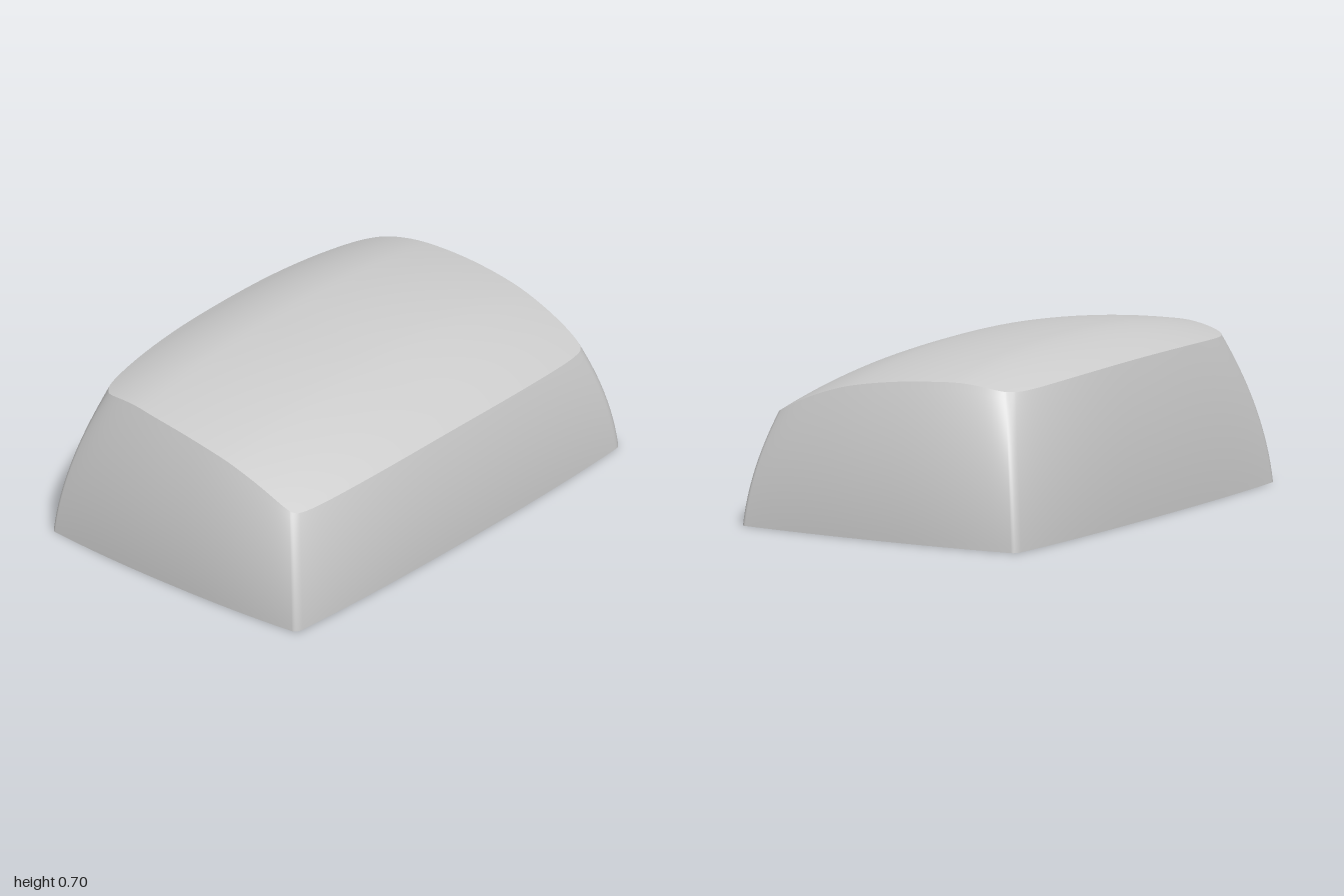
import * as THREE from 'three';
import { toCreasedNormals } from 'three/addons/utils/BufferGeometryUtils.js';

const CEILING = 0.5;

// Rounded unit square, the plan outline shared by every loft
function unitRing(r = 0.03, side = 32, corner = 6) {
  const pts = [];
  for (let k = 0; k < 4; k++) {
    const c = Math.cos(k * Math.PI / 2), s = Math.sin(k * Math.PI / 2);
    const add = (u, v) => pts.push([u * c - v * s, u * s + v * c]);
    for (let i = 0; i < side; i++) add(1, (1 - r) * Math.sin((i / side - 0.5) * Math.PI));
    for (let i = 0; i < corner; i++) {
      const a = i / corner * Math.PI / 2;
      add(1 - r + r * Math.cos(a), 1 - r + r * Math.sin(a));
    }
  }
  return pts;
}
const RING = unitRing();

// Crown height: front-to-back profile, dropping towards both ends
const profile = new THREE.CubicInterpolant(
  [-0.6, -0.5, -0.4, -0.3, -0.2, -0.1, 0, 0.1, 0.2, 0.3, 0.4, 0.5, 0.6],
  [0.611, 0.653, 0.682, 0.697, 0.698, 0.694, 0.685, 0.671, 0.651, 0.62, 0.58, 0.528, 0.464], 1);
const crownY = (x, z) => profile.evaluate(z)[0] - 0.102 * Math.abs(x) ** 2.3;

// Outer wall: bowed sides that lean in with height, corners softening upwards
function wallPoint([u, v], y) {
  const hx = 1 - 0.31 * y * y;
  const hz = 0.655 - (v > 0 ? 0.294 : 0.195) * y * y;
  const soft = 1 - 0.09 * y * y * Math.abs(u * v) ** 14;
  return [
    u * soft * (hx - (0.03 + 0.075 * y) * Math.abs(v) ** 2.3), y,
    v * soft * (hz - (0.03 + 0.085 * y) * Math.abs(u) ** 2.5)];
}

// Point where the wall meets the crown
const EDGE = RING.map((p) => {
  let y = 0.5;
  for (let i = 0; i < 30; i++) {
    const [x, , z] = wallPoint(p, y);
    y = crownY(x, z);
  }
  return wallPoint(p, y);
});

// Cavity wall: rounded rectangle at the rim, softer and smaller at the ceiling
function cavityPoint([u, v], t) {
  const n = 4;
  const k = 1 / Math.pow(Math.abs(u) ** n + Math.abs(v) ** n, 1 / n);
  const b = t * t;
  const x0 = u * (0.89 - 0.03 * v * v), z0 = v * (0.545 - 0.03 * u * u);
  return [
    THREE.MathUtils.lerp(x0, u * k * 0.79, b), t * CEILING,
    THREE.MathUtils.lerp(z0, v * k * 0.436, b)];
}

// Closed loft; pointAt(i, t) gives ring point i at fraction t
function loft(rows, pointAt) {
  const n = RING.length, pos = [], idx = [];
  for (let j = 0; j <= rows; j++)
    for (let i = 0; i < n; i++) pos.push(...pointAt(i, j / rows));
  for (let j = 0; j < rows; j++)
    for (let i = 0; i < n; i++) {
      const a = j * n + i, b = j * n + (i + 1) % n;
      idx.push(a, a + n, b, b, a + n, b + n);
    }
  const g = new THREE.BufferGeometry();
  g.setAttribute('position', new THREE.Float32BufferAttribute(pos, 3));
  g.setIndex(idx);
  g.computeVertexNormals();
  return g;
}

// Stem: chamfered cylinder with a cross-shaped socket
function stemGeometry() {
  const shape = new THREE.Shape().absarc(0, 0, 0.18, 0, Math.PI * 2);
  const L = 0.16, w = 0.06;
  const cross = [];
  for (let k = 0; k < 4; k++) {
    const o = new THREE.Vector2();
    for (const [x, y] of [[L, -w], [L, w], [w, w]])
      cross.push(new THREE.Vector2(x, y).rotateAround(o, k * Math.PI / 2));
  }
  shape.holes.push(new THREE.Path(cross.reverse()));
  const g = new THREE.ExtrudeGeometry(shape, {
    depth: CEILING, curveSegments: 48,
    bevelEnabled: true, bevelSize: 0.015, bevelThickness: 0.015, bevelSegments: 1,
  });
  g.rotateX(-Math.PI / 2).translate(0, 0.023, 0);
  return toCreasedNormals(g, 0.5);
}

// Fillet between stem and ceiling
function filletGeometry(r = 0.14) {
  const pts = [];
  for (let i = 0; i <= 8; i++) {
    const a = i / 8 * Math.PI / 2;
    pts.push(new THREE.Vector2(0.195 + r * (1 - Math.cos(a)), CEILING - r * (1 - Math.sin(a))));
  }
  return new THREE.LatheGeometry(pts, 48);
}

export function createModel() {
  const group = new THREE.Group();
  group.name = 'keycap';
  const grey = new THREE.MeshStandardMaterial({ color: 0xcccccc });
  const add = (name, geometry, material = grey) => {
    const mesh = new THREE.Mesh(geometry, material);
    mesh.name = name;
    group.add(mesh);
  };

  // Outer shell
  add('outerWall', loft(24, (i, t) => wallPoint(RING[i], EDGE[i][1] * t)));
  add('crown', loft(28, (i, t) => {
    const x = EDGE[i][0] * (1 - t), z = EDGE[i][2] * (1 - t);
    return [x, crownY(x, z), z];
  }));

  // Underside
  add('bottomRim', loft(1, (i, t) => (t ? wallPoint(RING[i], 0) : cavityPoint(RING[i], 0))));
  add('cavityWall', loft(16, (i, t) => cavityPoint(RING[i], 1 - t)));
  add('cavityCeiling', loft(1, (i, t) => {
    const [x, y, z] = cavityPoint(RING[i], 1);
    return [x * t, y, z * t];
  }));

  // Mounting stem
  add('stem', stemGeometry());
  add('stemFillet', filletGeometry(),
    new THREE.MeshStandardMaterial({ color: 0xcccccc, side: THREE.DoubleSide }));

  return group;
}
